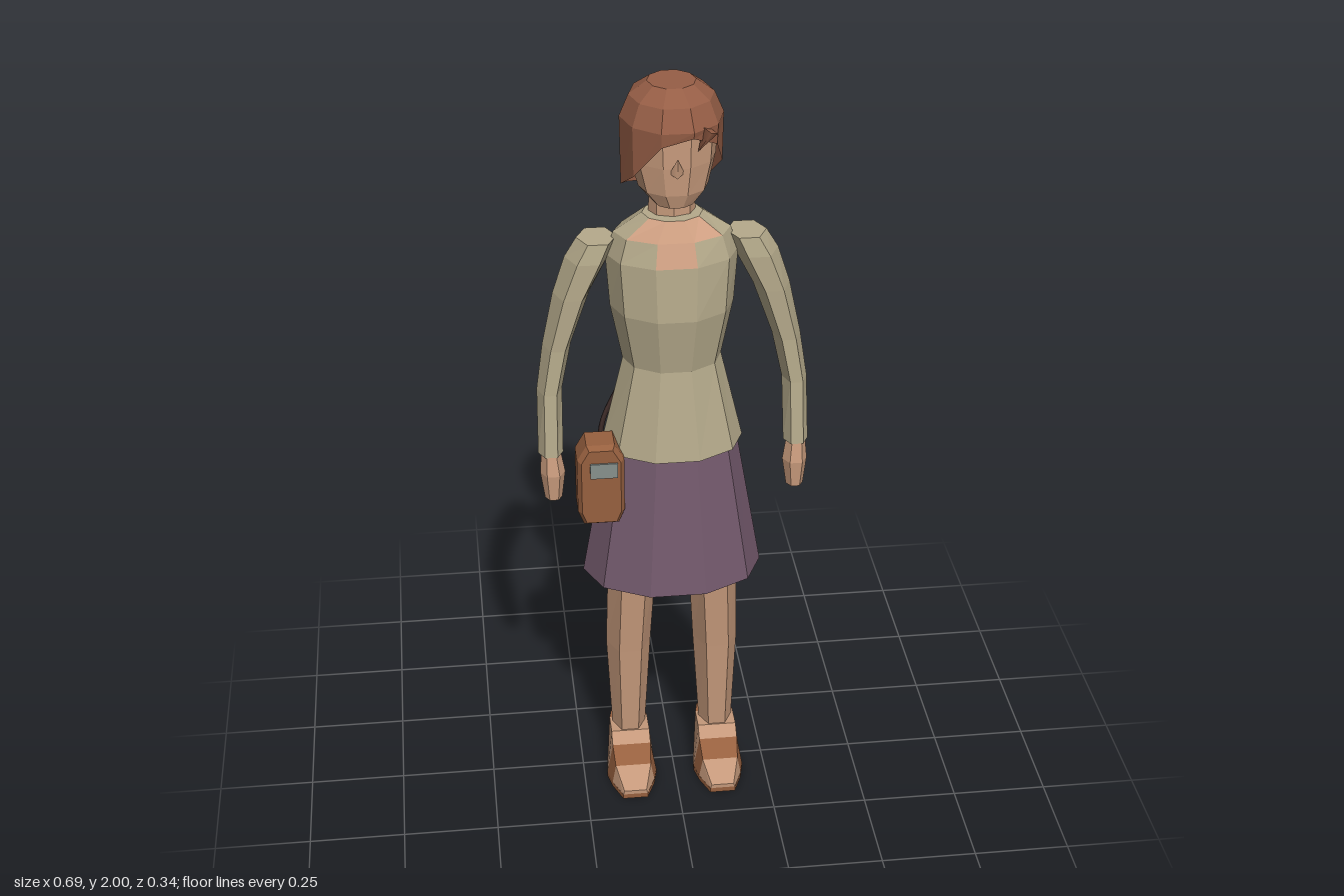
import * as THREE from 'three';

const mat = (name, color, side = THREE.FrontSide) => {
  const m = new THREE.MeshStandardMaterial({ color, side });
  m.name = name;
  return m;
};
const skin = mat('skin', 0xc4987a);
const neckSkin = mat('light skin', 0xd2a284);
const shirt = mat('khaki cloth', 0xb5aa8b);
const purple = mat('purple cloth', 0x745a6d, THREE.DoubleSide);
const hairBrown = mat('hair brown', 0x965e46, THREE.DoubleSide);
const leather = mat('leather', 0x97603f);
const dark = mat('dark leather', 0x3a2926);
const metal = mat('grey metal', 0x87908c);

// Elliptical ring around a vertical axis: [y, cx, cz, rx, rz]
const ring = ([y, cx, cz, rx, rz], n) => Array.from({ length: n }, (_, i) => {
  const a = (i / n) * Math.PI * 2;
  return [cx + rx * Math.cos(a), y, cz + rz * Math.sin(a)];
});

// Skin rings of points with flat faces; pick(row, side) chooses the material
function loft(rings, { bottom = true, top = true, pick = () => 0 } = {}) {
  const pos = [];
  const geo = new THREE.BufferGeometry();
  const n = rings[0].length;
  const mean = (r) => [0, 1, 2].map((k) => r.reduce((s, p) => s + p[k], 0) / n);
  const tri = (a, b, c, m) => {
    geo.addGroup(pos.length / 3, 3, m);
    pos.push(...a, ...b, ...c);
  };
  for (let r = 0; r < rings.length - 1; r++) {
    for (let i = 0; i < n; i++) {
      const j = (i + 1) % n, m = pick(r, i);
      tri(rings[r][i], rings[r + 1][i], rings[r][j], m);
      tri(rings[r][j], rings[r + 1][i], rings[r + 1][j], m);
    }
  }
  const first = rings[0], last = rings[rings.length - 1];
  for (let i = 0; i < n; i++) {
    const j = (i + 1) % n;
    if (bottom) tri(mean(first), first[i], first[j], 0);
    if (top) tri(mean(last), last[j], last[i], 0);
  }
  geo.setAttribute('position', new THREE.Float32BufferAttribute(pos, 3));
  geo.computeVertexNormals();
  return geo;
}

export function createModel() {
  const model = new THREE.Group();
  const add = (name, geo, material) => {
    if (!Array.isArray(material)) geo.clearGroups();
    const mesh = new THREE.Mesh(geo, material);
    mesh.name = name;
    model.add(mesh);
    return mesh;
  };
  const body = (name, rows, n, material, opts) =>
    add(name, loft(rows.map((r) => ring(r, n)), opts), material);

  // Blouse, with an open neckline at the front
  body('blouse', [
    [1.03, 0, -0.01, 0.182, 0.137],
    [1.27, 0, -0.012, 0.125, 0.103],
    [1.42, 0, -0.01, 0.155, 0.126],
    [1.56, 0, -0.012, 0.165, 0.118],
    [1.62, 0, -0.008, 0.145, 0.095],
    [1.67, 0, 0, 0.075, 0.065],
  ], 10, [shirt, neckSkin], {
    pick: (r, i) => ((r === 4 && i >= 1 && i <= 3) || (r === 3 && i === 2) ? 1 : 0),
  });

  // Flared skirt, open below
  body('skirt', [
    [0.64, 0, -0.014, 0.236, 0.165],
    [1.05, 0, -0.01, 0.165, 0.117],
  ], 10, purple, { bottom: false });

  // Neck and head
  body('neck', [
    [1.62, 0, -0.012, 0.062, 0.05],
    [1.76, 0, -0.015, 0.052, 0.045],
  ], 8, skin);
  body('head', [
    [1.715, 0, 0.04, 0.05, 0.05],
    [1.75, 0, 0.02, 0.085, 0.08],
    [1.82, 0, 0.0, 0.105, 0.103],
    [1.91, 0, -0.01, 0.112, 0.11],
    [1.96, 0, -0.015, 0.08, 0.08],
  ], 10, skin);
  const nose = add('nose', new THREE.ConeGeometry(0.018, 0.05, 4), skin);
  nose.position.set(0, 1.83, 0.105);
  nose.rotation.x = 0.45;

  // Bobbed hair with a slanting fringe, parted towards the left
  const hem = [1.79, 1.865, 1.9, 1.88, 1.79, 1.74, 1.71, 1.69, 1.69, 1.72];
  const hairRing = (y, s) => ring([y, 0, -0.018, 0.126 * s, 0.14 * s], 10);
  const lower = hairRing(0, 0.98).map((p, i) => [p[0], hem[i], p[2]]);
  add('hair', loft([lower, hairRing(1.915, 1), hairRing(1.968, 0.82), hairRing(2, 0.47)],
    { bottom: false }), hairBrown);
  const lock = add('hairLock', new THREE.ConeGeometry(0.02, 0.06, 4), hairBrown);
  lock.position.set(0.065, 1.885, 0.09);
  lock.rotation.z = Math.PI - 0.5;

  for (const s of [1, -1]) {
    const side = s > 0 ? 'left' : 'right';
    const limb = (name, rows, material) => body(side + name,
      rows.map(([y, x, z, rx, rz]) => [y, x * s, z, rx, rz]), 6, material);

    // Bowed sleeve and hand
    limb('Sleeve', [
      [1.03, 0.315, 0.03, 0.032, 0.036],
      [1.2, 0.312, 0.0, 0.032, 0.052],
      [1.32, 0.29, -0.012, 0.036, 0.06],
      [1.46, 0.25, -0.016, 0.046, 0.07],
      [1.555, 0.21, -0.016, 0.055, 0.07],
      [1.605, 0.185, -0.015, 0.05, 0.06],
    ], shirt);
    limb('Hand', [
      [0.91, 0.312, 0.052, 0.022, 0.022],
      [0.98, 0.312, 0.044, 0.032, 0.034],
      [1.04, 0.315, 0.034, 0.024, 0.026],
    ], skin);

    // Leg
    limb('Leg', [
      [0.1, 0.12, -0.014, 0.045, 0.05],
      [0.14, 0.12, -0.014, 0.046, 0.052],
      [0.4, 0.118, -0.02, 0.06, 0.072],
      [0.64, 0.108, -0.004, 0.064, 0.07],
      [0.9, 0.095, -0.008, 0.068, 0.075],
    ], skin);

    // Sandalled foot: cross-sections from heel to toe [z, lower half, upper half, top]
    const sections = [
      [-0.08, 0.042, 0.038, 0.05], [-0.066, 0.048, 0.044, 0.13], [-0.03, 0.054, 0.052, 0.13],
      [0.035, 0.066, 0.052, 0.13], [0.065, 0.068, 0.052, 0.105], [0.11, 0.058, 0.048, 0.068],
      [0.168, 0.034, 0.03, 0.025],
    ];
    const cx = 0.12 * s;
    add(side + 'Foot', loft(sections.map(([z, b, t, y]) => [
      [cx - t, y, z], [cx + t, y, z], [cx + b, 0.012, z], [cx - b, 0.012, z],
    ]), { pick: (r) => (r === 1 || r === 4 ? 1 : 0) }), [skin, leather]);
    add(side + 'Sole', loft(sections.map(([z, b]) => [
      [cx - b, 0.014, z], [cx + b, 0.014, z], [cx + b, 0, z], [cx - b, 0, z],
    ])), leather);
  }

  // Shoulder bag at the right hip
  const outline = new THREE.Shape([
    [-0.038, -0.105], [0.038, -0.105], [0.05, -0.075], [0.05, 0.07],
    [0.03, 0.105], [-0.03, 0.105], [-0.05, 0.07], [-0.05, -0.075],
  ].map(([x, y]) => new THREE.Vector2(x, y)));
  const bag = add('bag', new THREE.ExtrudeGeometry(outline, {
    depth: 0.07, bevelSize: 0.01, bevelThickness: 0.015, bevelSegments: 1,
  }), leather);
  bag.position.set(-0.193, 0.963, 0.023);
  const clasp = add('bagClasp', new THREE.BoxGeometry(0.07, 0.042, 0.006), metal);
  clasp.position.set(-0.186, 1.012, 0.11);

  // Strap across the back and over the left shoulder
  const path = new THREE.CatmullRomCurve3([
    [-0.19, 1.06, 0.03], [-0.165, 1.07, -0.085], [-0.07, 1.24, -0.115], [0.015, 1.42, -0.136],
    [0.085, 1.575, -0.115], [0.1, 1.64, -0.04],
  ].map((p) => new THREE.Vector3(...p)));
  add('bagStrap', new THREE.TubeGeometry(path, 24, 0.007, 4), dark);

  return model;
}
